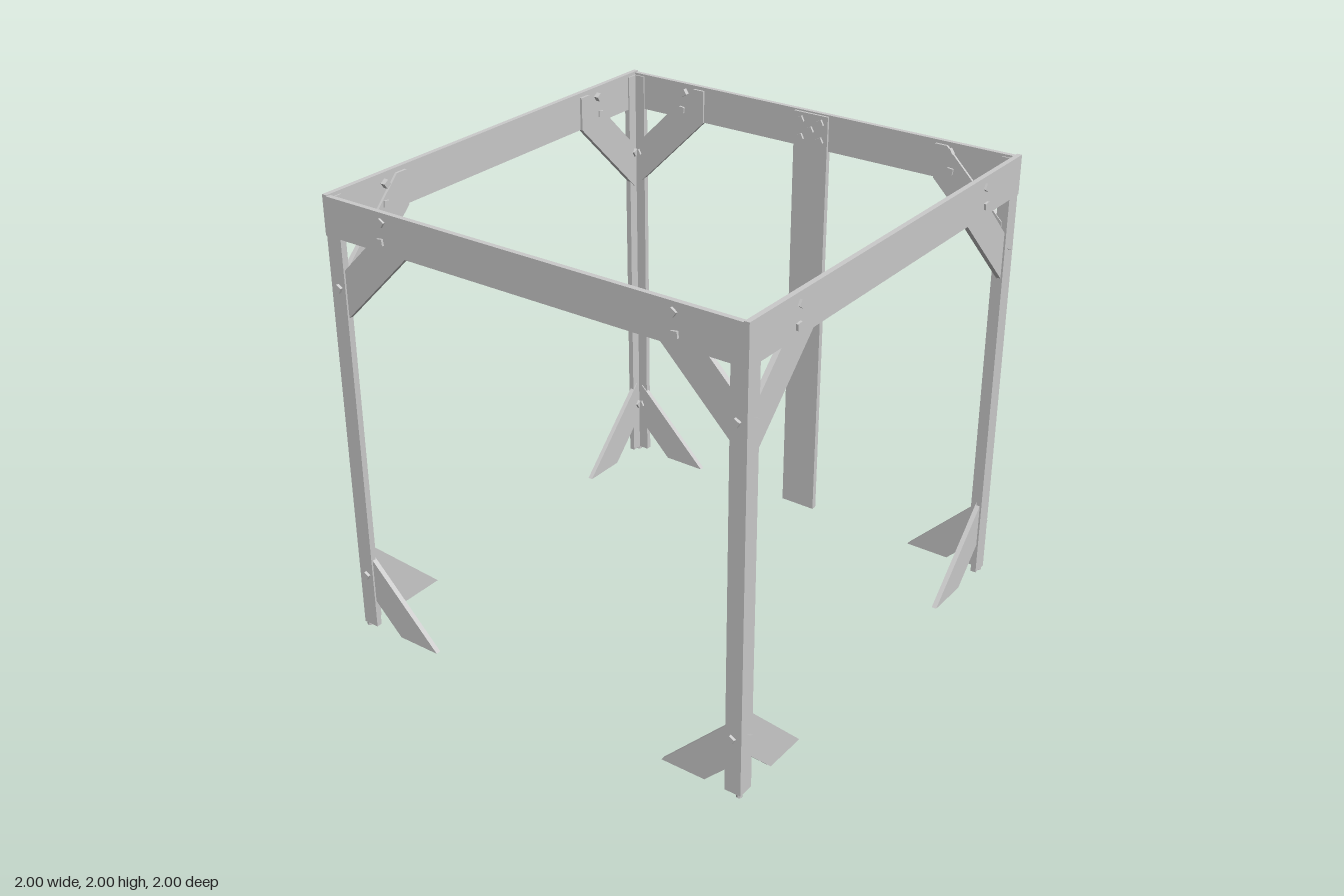
import * as THREE from 'three';

const material = new THREE.MeshStandardMaterial({ color: 0xcccccc, flatShading: true });

function addMesh(parent, name, geometry, x = 0, y = 0, z = 0) {
  const mesh = new THREE.Mesh(geometry, material);
  mesh.name = name;
  mesh.position.set(x, y, z);
  parent.add(mesh);
  return mesh;
}

// Flat plate cut from an outline, from depth z0 to z1
function plate(points, z0, z1) {
  const shape = new THREE.Shape(points.map(([x, y]) => new THREE.Vector2(x, y)));
  return new THREE.ExtrudeGeometry(shape, { depth: z1 - z0, bevelEnabled: false }).translate(0, 0, z0);
}

// Square-headed bolt passing through the face of a side
function addBolt(side, x, y, turn = 0.3) {
  const geometry = new THREE.CylinderGeometry(0.019, 0.019, 0.053, 4).rotateX(Math.PI / 2).rotateZ(turn);
  addMesh(side, 'bolt', geometry, x, y, 0.9735);
}

// One wall of the frame, facing +z: top rail, four corner braces, bolts
function makeSide(name, { halfLength, top, reachLeft, reachRight }) {
  const side = new THREE.Group();
  side.name = name;
  const low = 1.825, floor = 0.01, width = 0.205, end = 0.94;
  addMesh(side, 'topRail', new THREE.BoxGeometry(halfLength * 2, top - low, 0.022), 0, (top + low) / 2, 0.979);

  for (const [s, r] of [[-1, reachLeft], [1, reachRight]]) {
    const upper = [
      [end, low - end + r], [r, low], [r, 1.975],
      [r + low + width - 1.975, 1.975], [end, r + low + width - end],
    ];
    const lower = [
      [end, floor + end - r], [r, floor], [r + width, floor], [end, floor + end - r - width],
    ];
    for (const [label, points] of [['upperBrace', upper], ['lowerBrace', lower]]) {
      addMesh(side, label, plate(points.map(([x, y]) => [s * x, y]), 0.957, 0.979));
    }
    addBolt(side, s * 0.68, 1.95, 0.2);
    addBolt(side, s * 0.69, 1.87, 0.9);
    addBolt(side, s * 0.945, 1.61);
    addBolt(side, s * 0.945, 0.27);
  }
  return side;
}

// Angle-section corner leg with a small foot
function makeLeg() {
  const leg = new THREE.Group();
  leg.name = 'cornerLeg';
  const o = 0.987, i = 0.962, e = 0.914;
  const section = [[o, -o], [o, -e], [i, -e], [i, -i], [e, -i], [e, -o]];
  addMesh(leg, 'angleLeg', plate(section, 0.016, 1.98).rotateX(-Math.PI / 2));
  addMesh(leg, 'foot', new THREE.CylinderGeometry(0.013, 0.013, 0.02, 8), 0.972, 0.01, 0.972);
  return leg;
}

export function createModel() {
  const model = new THREE.Group();
  model.name = 'openFrame';

  const long = { halfLength: 0.968, top: 1.99 };
  const cross = { halfLength: 0.99, top: 1.995, reachLeft: 0.56, reachRight: 0.56 };
  const sides = [
    makeSide('frontSide', { ...long, reachLeft: 0.575, reachRight: 0.61 }),
    makeSide('leftSide', cross),
    makeSide('backSide', { ...long, reachLeft: 0.61, reachRight: 0.575 }),
    makeSide('rightSide', cross),
  ];

  // Central upright board on the back, with its bolts
  addMesh(sides[2], 'backUpright', new THREE.BoxGeometry(0.172, 1.97, 0.026), 0, 0.998, 0.97);
  for (const [x, y] of [[-0.05, 1.95], [0.05, 1.95], [0, 1.91], [-0.05, 1.87], [0.05, 1.87]]) {
    addBolt(sides[2], x, y);
  }

  sides.forEach((side, k) => {
    const leg = makeLeg();
    side.rotation.y = leg.rotation.y = k * Math.PI / 2;
    model.add(side, leg);
  });
  return model;
}
